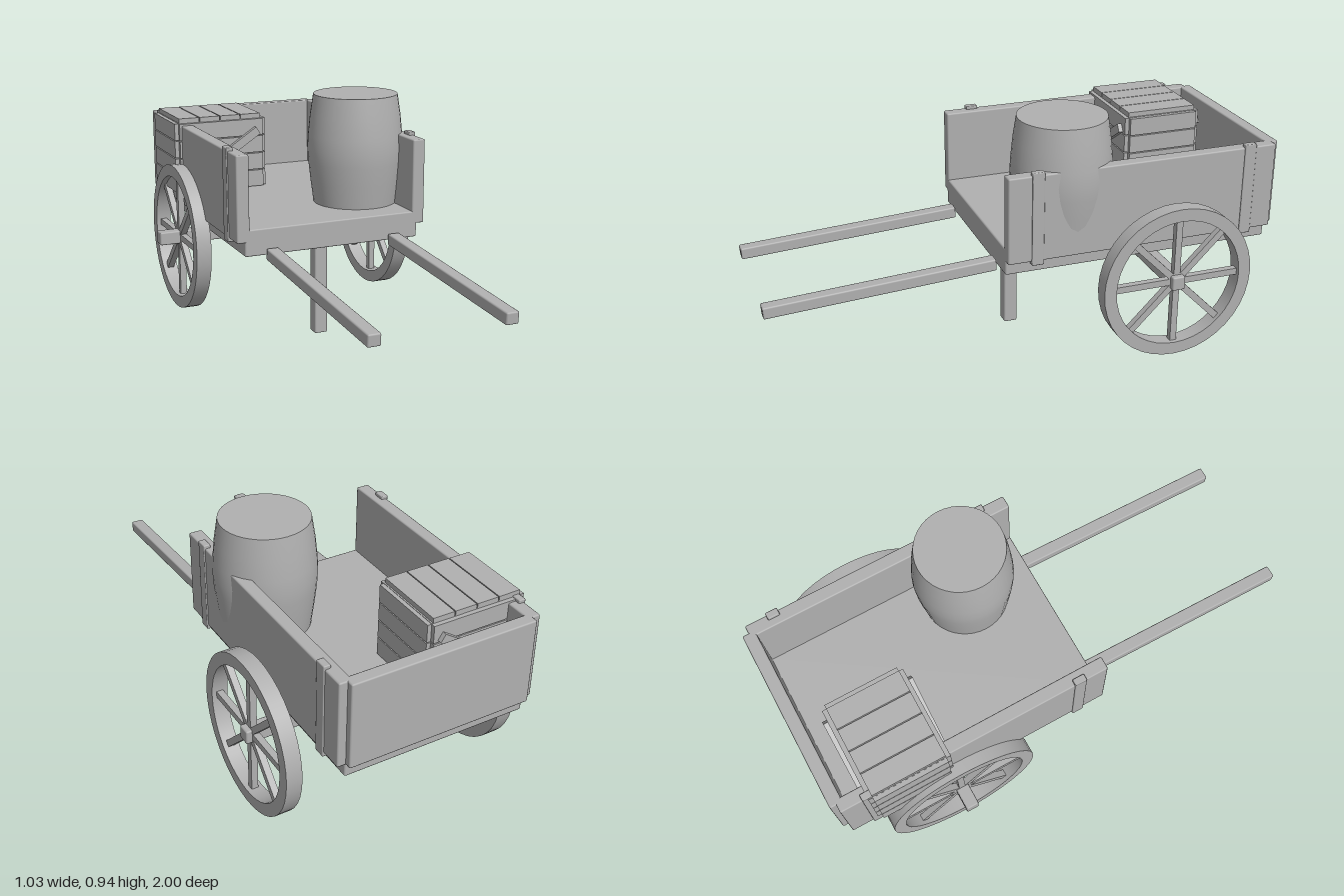
import * as THREE from 'three';
import { RoundedBoxGeometry } from 'three/addons/geometries/RoundedBoxGeometry.js';

export function createModel() {
  const cart = new THREE.Group();
  cart.name = 'handCart';
  const wood = new THREE.MeshStandardMaterial({ color: 0xb0b0b0 });
  wood.name = 'plainGrey';

  const add = (parent, name, geometry) => {
    const mesh = new THREE.Mesh(geometry, wood);
    mesh.name = name;
    parent.add(mesh);
    return mesh;
  };
  // Board given by its min and max on each axis, edges eased by r
  const board = (parent, name, [x0, x1], [y0, y1], [z0, z1], r = 0.006) => {
    const size = [x1 - x0, y1 - y0, z1 - z0];
    const geometry = r ? new RoundedBoxGeometry(...size, 1, r) : new THREE.BoxGeometry(...size);
    const mesh = add(parent, name, geometry);
    mesh.position.set((x0 + x1) / 2, (y0 + y1) / 2, (z0 + z1) / 2);
    return mesh;
  };

  // Bed: floor, side walls, tailboard and wall cleats
  const bed = new THREE.Group();
  bed.name = 'bed';
  cart.add(bed);
  board(bed, 'floor', [-0.365, 0.365], [0.395, 0.5], [-0.97, 0.11]);
  board(bed, 'tailboard', [-0.365, 0.365], [0.45, 0.79], [-1, -0.95]);
  for (const s of [-1, 1]) {
    const side = s > 0 ? 'left' : 'right';
    const span = (a, b) => (s > 0 ? [a, b] : [-b, -a]);
    board(bed, side + 'Wall', span(0.345, 0.397), [0.45, 0.79], [-0.975, 0.11]);
    for (const z of [-0.865, -0.005])
      board(bed, side + 'Cleat', span(0.374, 0.402), [0.435, 0.803], [z - 0.024, z + 0.024], 0.004);

    // Handle sloping down to the front
    const back = new THREE.Vector3(s * 0.258, 0.4, 0.115);
    const front = new THREE.Vector3(s * 0.258, 0.349, 0.996);
    const handle = add(cart, side + 'Handle', new RoundedBoxGeometry(0.05, 0.046, back.distanceTo(front), 1, 0.006));
    handle.position.lerpVectors(back, front, 0.5);
    handle.lookAt(front);
  }

  // Prop leg and axle
  board(cart, 'leg', [-0.027, 0.027], [0, 0.4], [-0.06, -0.006]);
  board(cart, 'axle', [-0.515, 0.515], [0.295, 0.35], [-0.56, -0.508]);

  // Wheels: flat rim and eight spokes
  const makeWheel = (name, x) => {
    const wheel = new THREE.Group();
    wheel.name = name;
    wheel.position.set(x, 0.323, -0.534);
    const h = 0.031, R = 0.305, r = 0.256;
    const corners = [[r, -h], [R, -h], [R, h], [r, h], [r, -h]];
    // Each side of the rim section is its own ring, so the edges stay sharp
    for (let i = 0; i < 4; i++) {
      const ring = corners.slice(i, i + 2).map(([a, b]) => new THREE.Vector2(a, b));
      add(wheel, 'rim', new THREE.LatheGeometry(ring, 40)).rotation.z = Math.PI / 2;
    }
    for (let i = 0; i < 4; i++) {
      const spoke = add(wheel, 'spokePair', new THREE.BoxGeometry(0.026, 0.606, 0.026));
      spoke.rotation.x = (i * Math.PI) / 4;
    }
    cart.add(wheel);
  };
  makeWheel('leftWheel', 0.479);
  makeWheel('rightWheel', -0.416);

  // Barrel with bulging staves and flat ends
  const stave = [[0.171, 0.5], [0.183, 0.59], [0.192, 0.67], [0.195, 0.725], [0.192, 0.78], [0.184, 0.86], [0.171, 0.945]];
  const barrel = new THREE.Group();
  barrel.name = 'barrel';
  barrel.position.set(0.22, 0, -0.163);
  cart.add(barrel);
  add(barrel, 'barrelSide', new THREE.LatheGeometry(stave.map(([a, b]) => new THREE.Vector2(a, b)), 40));
  for (const [name, y, turn] of [['barrelLid', 0.945, -1], ['barrelBase', 0.5, 1]]) {
    const cap = add(barrel, name, new THREE.CircleGeometry(0.171, 40));
    cap.position.y = y;
    cap.rotation.x = (turn * Math.PI) / 2;
  }

  // Crate: inner box, slats on every face, diagonal braces front and back
  const crate = new THREE.Group();
  crate.name = 'crate';
  cart.add(crate);
  board(crate, 'crateCore', [-0.406, -0.037], [0.502, 0.799], [-0.852, -0.56], 0);
  for (let i = 0; i < 4; i++) {
    const y = 0.504 + i * 0.0745, x = -0.403 + i * 0.091;
    board(crate, 'frontSlat', [-0.406, -0.037], [y, y + 0.07], [-0.56, -0.543], 0);
    board(crate, 'backSlat', [-0.406, -0.037], [y, y + 0.07], [-0.869, -0.852], 0);
    board(crate, 'outerSlat', [-0.423, -0.406], [y, y + 0.07], [-0.852, -0.56], 0);
    board(crate, 'innerSlat', [-0.037, -0.021], [y, y + 0.07], [-0.852, -0.56], 0);
    board(crate, 'topSlat', [x, x + 0.087], [0.799, 0.818], [-0.852, -0.56], 0);
  }
  for (const z of [-0.534, -0.878]) {
    const brace = add(crate, 'brace', new THREE.BoxGeometry(0.345, 0.035, 0.018));
    brace.position.set(-0.208, 0.656, z);
    brace.rotation.z = 0.58;
  }
  return cart;
}
